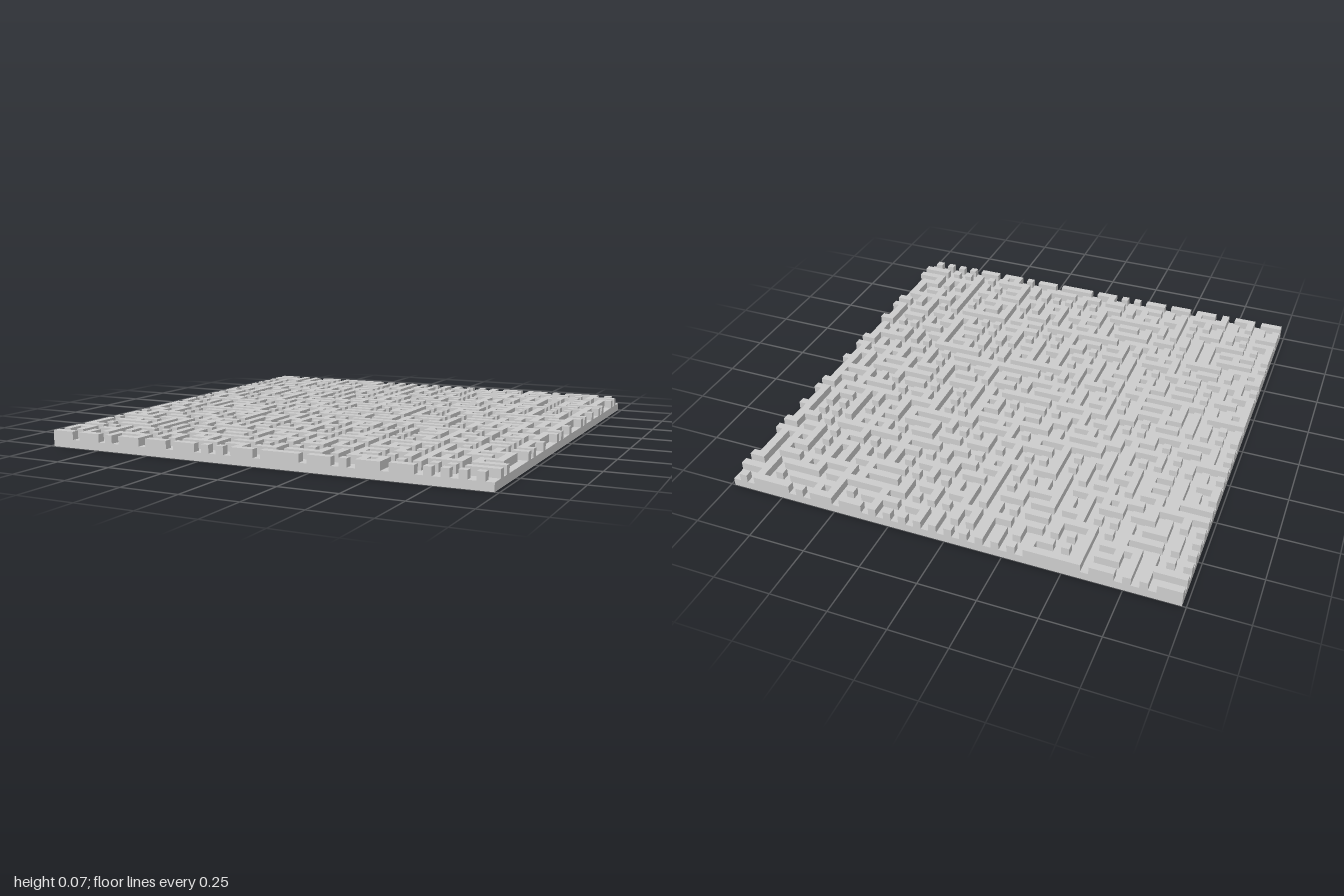
import * as THREE from 'three';

const COLS = 58, ROWS = 59;        // cells across and deep
const S = 2 / ROWS;                // cell size
const FLOOR = 0.035, TOP = 0.07;   // floor level and wall top
// solid border of the underside, in cells
const RIM = { right: 3, left: 2, back: 2, front: 3 };
const WALL_CHANCE = 0.39;
// odd columns that are open along the front row
const FRONT_GAPS = [3, 7, 9, 13, 17, 21, 23, 25, 29, 35, 39, 41, 45, 49, 51, 53, 55, 57];
// along the left edge, counted from the front: walls reaching the edge, and gaps behind it
const EDGE_STUBS = [2, 4, 12, 14, 18, 24, 26, 30, 36, 38, 42, 46, 48, 54, 56];
const EDGE_GAPS = [1, 3, 5, 11, 13, 19, 25, 37, 47, 55, 57];

function seeded(seed) {
  return () => {
    seed = (seed * 1664525 + 1013904223) >>> 0;
    return seed / 4294967296;
  };
}

// Posts stand on every even crossing; the links between them are walls or gaps.
function makeMaze() {
  const rand = seeded(7);
  const maze = [];
  for (let r = 0; r < ROWS; r++) {
    const fromFront = ROWS - 1 - r;
    maze.push([]);
    for (let c = 0; c < COLS; c++) {
      const odd = (c % 2) + (r % 2);
      let wall = odd === 0 || (odd === 1 && rand() < WALL_CHANCE);
      if (c === COLS - 1) wall = EDGE_STUBS.includes(fromFront);
      if (c === COLS - 2) wall = !EDGE_GAPS.includes(fromFront);
      if (fromFront === 0) wall = !FRONT_GAPS.includes(c);
      maze[r].push(wall);
    }
  }
  return maze;
}

// Collects rectangles spanned by two edge vectors, facing u x v.
class Quads {
  positions = [];
  index = [];
  add([x, y, z], u, v) {
    const n = this.positions.length / 3;
    this.positions.push(
      x, y, z,
      x + u[0], y + u[1], z + u[2],
      x + u[0] + v[0], y + u[1] + v[1], z + u[2] + v[2],
      x + v[0], y + v[1], z + v[2]);
    this.index.push(n, n + 1, n + 2, n, n + 2, n + 3);
  }
  // upright face on one side of the cell at (x, z)
  side(x, z, dx, dz, low, high) {
    const up = [0, high - low, 0], ax = [S, 0, 0], az = [0, 0, S];
    if (dx > 0) this.add([x + S, low, z], up, az);
    else if (dx < 0) this.add([x, low, z], az, up);
    else if (dz > 0) this.add([x, low, z + S], ax, up);
    else this.add([x, low, z], up, ax);
  }
  mesh(name, material) {
    const g = new THREE.BufferGeometry();
    g.setAttribute('position', new THREE.Float32BufferAttribute(this.positions, 3));
    g.setIndex(this.index);
    g.computeVertexNormals();
    const m = new THREE.Mesh(g, material);
    m.name = name;
    return m;
  }
}

export function createModel() {
  const group = new THREE.Group();
  group.name = 'mazePlate';
  const material = new THREE.MeshStandardMaterial({ color: 0xcccccc, flatShading: true });
  const maze = makeMaze();
  const isWall = (c, r) => !!(maze[r] && maze[r][c]);
  // the underside is grooved beneath the walls, inside a solid rim
  const isGroove = (c, r) => isWall(c, r)
    && c >= RIM.right && c < COLS - RIM.left && r >= RIM.back && r < ROWS - RIM.front;

  const walls = new Quads(), base = new Quads(), grooves = new Quads();
  const ax = [S, 0, 0], az = [0, 0, S];
  const sides = [[1, 0], [-1, 0], [0, 1], [0, -1]];

  for (let r = 0; r < ROWS; r++) {
    for (let c = 0; c < COLS; c++) {
      const x = (c - COLS / 2) * S, z = (r - ROWS / 2) * S;
      const wall = isWall(c, r), groove = isGroove(c, r);

      // upward faces: wall tops and passage floor
      (wall ? walls : base).add([x, wall ? TOP : FLOOR, z], az, ax);
      // downward faces: underside and groove ceilings
      (groove ? grooves : base).add([x, groove ? FLOOR : 0, z], ax, az);

      for (const [dx, dz] of sides) {
        const nc = c + dx, nr = r + dz;
        const outside = nc < 0 || nr < 0 || nc >= COLS || nr >= ROWS;
        if (wall && !isWall(nc, nr)) walls.side(x, z, dx, dz, FLOOR, TOP);
        if (outside) base.side(x, z, dx, dz, 0, FLOOR);
        else if (!groove && isGroove(nc, nr)) grooves.side(x, z, dx, dz, 0, FLOOR);
      }
    }
  }

  group.add(
    base.mesh('basePlate', material),
    walls.mesh('mazeWalls', material),
    grooves.mesh('undersideGrooves', material));
  return group;
}
